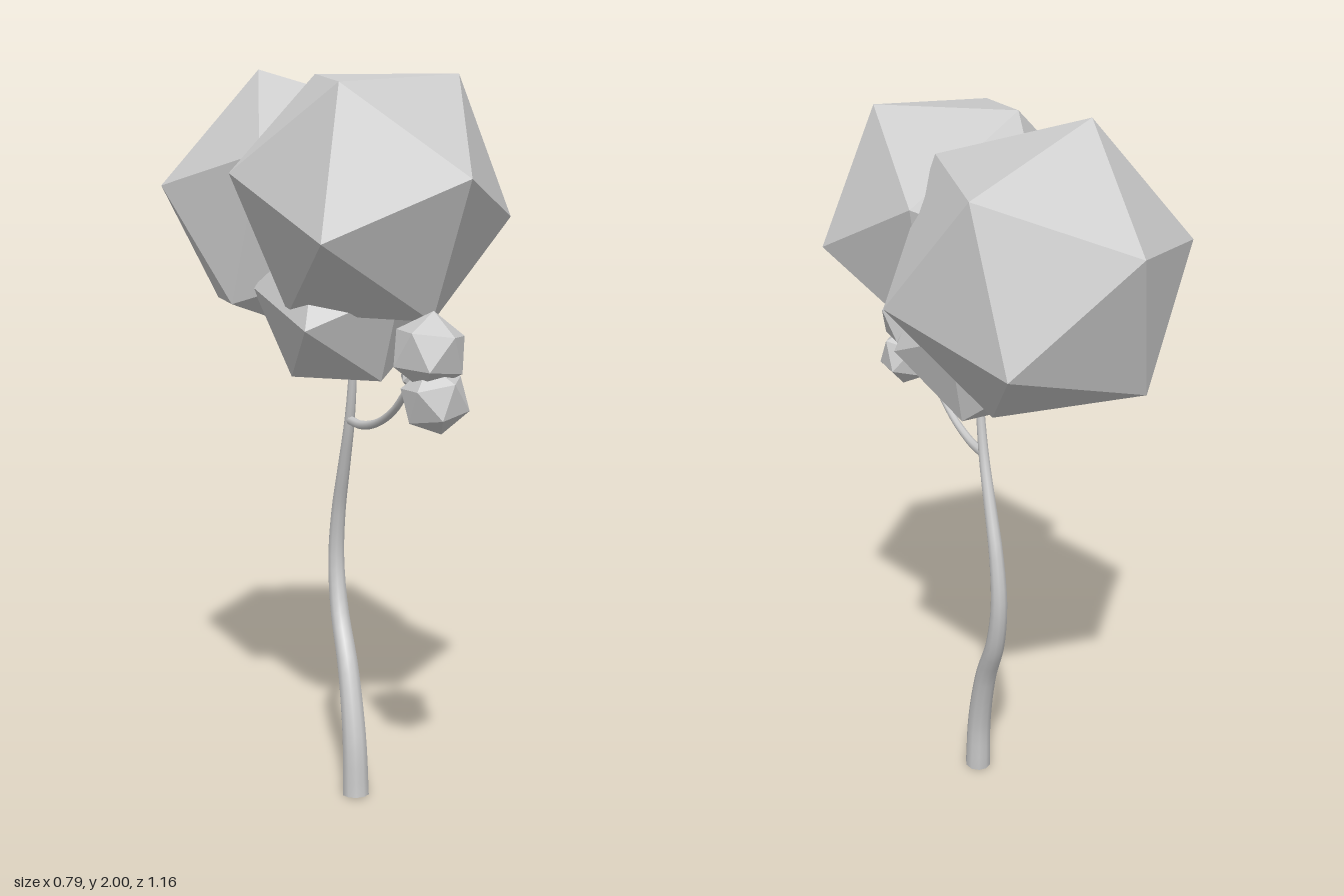
import * as THREE from 'three';

const material = new THREE.MeshStandardMaterial({ color: 0xcccccc });
const leafMaterial = new THREE.MeshStandardMaterial({ color: 0xcccccc, flatShading: true });
const vec = (p) => new THREE.Vector3(...p);

// Icosahedral leaf clump, turned so two neighbouring corners point along a and b
function clump(name, center, radius, a, b) {
  const va = vec(a).normalize(), vb = vec(b).normalize();
  const up = va.clone().add(vb).normalize();
  const side = vb.clone().sub(va).normalize();
  const out = side.clone().cross(up);
  const mesh = new THREE.Mesh(new THREE.IcosahedronGeometry(radius, 0), leafMaterial);
  mesh.name = name;
  mesh.quaternion.setFromRotationMatrix(new THREE.Matrix4().makeBasis(side, up, out));
  mesh.position.set(...center);
  return mesh;
}

// Tube along a smooth path that tapers from r0 to r1
function taperedTube(name, points, r0, r1, steps, sides) {
  const curve = new THREE.CatmullRomCurve3(points.map(vec));
  const geo = new THREE.TubeGeometry(curve, steps, 1, sides);
  const pos = geo.attributes.position, p = new THREE.Vector3();
  for (let i = 0; i < pos.count; i++) {
    const t = Math.floor(i / (sides + 1)) / steps;
    const c = curve.getPointAt(t);
    p.fromBufferAttribute(pos, i).sub(c).multiplyScalar(r0 + (r1 - r0) * t).add(c);
    pos.setXYZ(i, p.x, p.y, p.z);
  }
  const mesh = new THREE.Mesh(geo, material);
  mesh.name = name;
  return mesh;
}

export function createModel() {
  const tree = new THREE.Group();
  tree.name = 'tree';

  // S-curved trunk with a closed foot
  tree.add(taperedTube('trunk', [
    [0.036, 0, 0.083], [0.036, 0.16, 0.07], [0.037, 0.35, 0.015], [0.038, 0.5, -0.06],
    [0.039, 0.64, -0.09], [0.04, 0.78, -0.075], [0.04, 0.92, -0.03], [0.04, 1.06, 0.015],
    [0.04, 1.2, 0.04], [0.04, 1.32, 0.05],
  ], 0.038, 0.009, 32, 10));
  const foot = new THREE.Mesh(new THREE.CircleGeometry(0.037, 10), material);
  foot.name = 'trunkFoot';
  foot.rotation.x = Math.PI / 2;
  foot.position.set(0.036, 0.001, 0.083);
  tree.add(foot);

  // Side branch sweeping forward
  tree.add(taperedTube('branch', [
    [0.04, 1.06, 0.01], [0.042, 1.06, 0.1], [0.047, 1.085, 0.21],
    [0.053, 1.135, 0.31], [0.06, 1.21, 0.395], [0.065, 1.25, 0.45],
  ], 0.013, 0.008, 20, 8));

  // Crown
  tree.add(clump('backCrown', [-0.0175, 1.625, -0.2175], 0.395, [-0.1125, 0.375, -0.0375], [-0.3825, 0.065, -0.0725]));
  tree.add(clump('frontCrown', [0.034, 1.67, 0.195], 0.37, [0.206, 0.3, 0.075], [0.121, 0.05, 0.35]));
  tree.add(clump('lowerCrown', [0.015, 1.39, 0.05], 0.25, [0.045, -0.2, 0.15], [0.115, -0.185, -0.115]));

  // Small clumps at the branch tip
  tree.add(clump('upperTipLeaves', [0.068, 1.305, 0.492], 0.098, [0.01, 0.095, 0], [0.03, 0.04, 0.085]));
  tree.add(clump('lowerTipLeaves', [0.08, 1.188, 0.503], 0.088, [0.02, -0.085, -0.01], [-0.015, -0.03, 0.08]));
  tree.add(clump('smallTipLeaves', [0.075, 1.235, 0.402], 0.046, [0.04, 0.01, -0.01], [0.01, 0.04, 0.01]));

  return tree;
}
